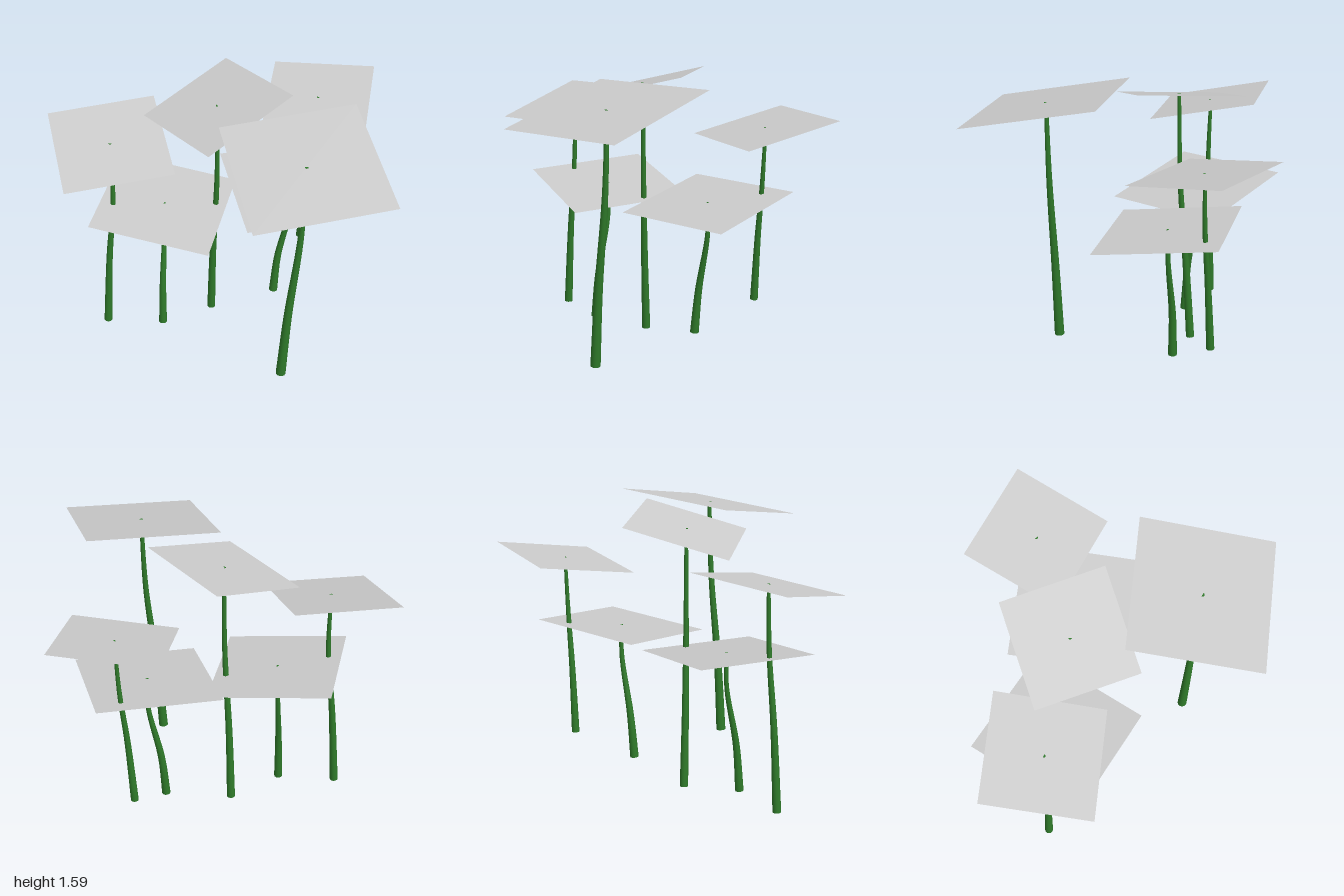
import * as THREE from 'three';
import { mergeGeometries } from 'three/addons/utils/BufferGeometryUtils.js';

const leafMaterial = new THREE.MeshStandardMaterial({ color: 0xcccccc, side: THREE.DoubleSide });
const stemMaterial = new THREE.MeshStandardMaterial({ color: 0x2f7a2a });

// Flat square leaf, spanned by its half diagonals to the back and left corners
function leafGeometry(centre, back, left) {
  const corners = [[back, 1], [left, 1], [back, -1], [left, -1]].map(
    ([diagonal, sign]) => centre.clone().addScaledVector(diagonal, sign));
  const geometry = new THREE.BufferGeometry().setFromPoints(corners);
  geometry.setIndex([0, 1, 2, 0, 2, 3]);
  geometry.computeVertexNormals();
  geometry.setAttribute('uv', new THREE.Float32BufferAttribute([1, 1, 0, 1, 0, 0, 1, 0], 2));
  return geometry;
}

// Round stem along a curve, tapering to the top, with closed ends
function stemGeometry(curve, radius) {
  const rings = 24, sides = 12, topScale = 0.4;
  const tube = new THREE.TubeGeometry(curve, rings, radius, sides);
  const position = tube.attributes.position;
  const v = new THREE.Vector3();
  for (let i = 0; i < position.count; i++) {
    const t = Math.floor(i / (sides + 1)) / rings;
    const centre = curve.getPointAt(t);
    v.fromBufferAttribute(position, i).sub(centre).multiplyScalar(1 - (1 - topScale) * t).add(centre);
    position.setXYZ(i, v.x, v.y, v.z);
  }
  const caps = [0, 1].map((t) => {
    const cap = new THREE.CircleGeometry(radius * (t ? topScale : 1), sides);
    const outward = curve.getTangentAt(t).multiplyScalar(t ? 1 : -1);
    cap.applyQuaternion(new THREE.Quaternion().setFromUnitVectors(new THREE.Vector3(0, 0, 1), outward));
    return cap.translate(...curve.getPointAt(t).toArray());
  });
  return mergeGeometries([tube, ...caps]);
}

// One plant: a bent stem from the ground up, with the leaf centred on its tip
function createPlant(name, radius, stemPoints, back, left) {
  const points = stemPoints.map((p) => new THREE.Vector3(...p));
  const plant = new THREE.Group();
  plant.name = name;
  const stem = new THREE.Mesh(stemGeometry(new THREE.CatmullRomCurve3(points), radius), stemMaterial);
  stem.name = 'stem';
  const leaf = new THREE.Mesh(
    leafGeometry(points.at(-1), new THREE.Vector3(...back), new THREE.Vector3(...left)), leafMaterial);
  leaf.name = 'leaf';
  plant.add(stem, leaf);
  return plant;
}

export function createModel() {
  const model = new THREE.Group();
  model.name = 'leafCluster';
  model.add(
    createPlant('leftPlant', 0.024,
      [[-0.675, 0.01, 0.107], [-0.643, 0.5, 0.098], [-0.605, 0.9, 0.087], [-0.605, 1.28, 0.075]],
      [0.155, 0.08, -0.39], [-0.395, 0.045, -0.155]),
    createPlant('backPlant', 0.022,
      [[0.377, 0.265, -0.59], [0.405, 0.66, -0.587], [0.435, 0.95, -0.586], [0.45, 1.285, -0.589]],
      [0.285, 0.065, -0.286], [-0.295, 0.035, -0.281]),
    createPlant('middlePlant', 0.024,
      [[-0.093, 0, -0.14], [-0.077, 0.44, -0.12], [-0.047, 0.98, -0.096], [-0.041, 1.487, -0.09]],
      [-0.03, 0.053, -0.407], [-0.405, -0.098, 0.022]),
    createPlant('frontPlant', 0.028,
      [[0.42, 0.065, 0.424], [0.447, 0.5, 0.415], [0.496, 1.04, 0.396], [0.509, 1.492, 0.389]],
      [0.192, 0.092, -0.483], [-0.488, 0.052, -0.19]),
    createPlant('lowLeftPlant', 0.024,
      [[-0.345, 0.02, 0.075], [-0.343, 0.3, 0.052], [-0.338, 0.65, -0.01], [-0.336, 0.848, -0.011]],
      [-0.325, 0.052, -0.355], [-0.352, 0.03, 0.332]),
    createPlant('lowRightPlant', 0.025,
      [[0.267, 0.08, -0.267], [0.287, 0.34, -0.279], [0.351, 0.69, -0.295], [0.35, 0.872, -0.295]],
      [0.18, 0.05, -0.435], [-0.45, 0.028, -0.175]),
  );
  return model;
}
